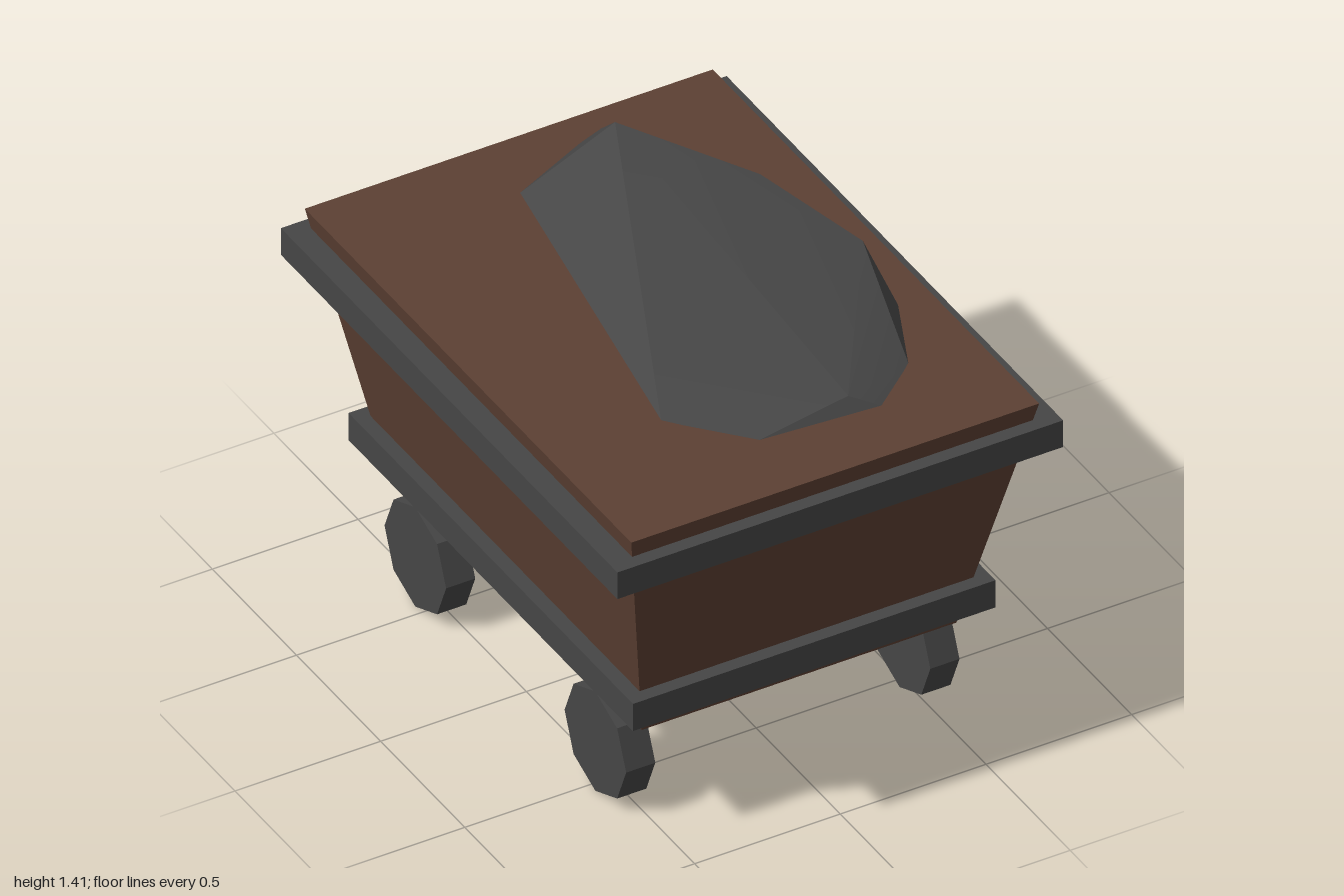
import * as THREE from 'three';
import { toCreasedNormals } from 'three/addons/utils/BufferGeometryUtils.js';
import { ConvexGeometry } from 'three/addons/geometries/ConvexGeometry.js';

export function createModel() {
  const cart = new THREE.Group();
  cart.name = 'mineCart';

  const wood = new THREE.MeshStandardMaterial({ color: 0x5c4033 });
  wood.name = 'brown wood';
  const iron = new THREE.MeshStandardMaterial({ color: 0x464646 });
  iron.name = 'dark grey';

  const add = (name, geometry, material, x = 0, y = 0, z = 0) => {
    const mesh = new THREE.Mesh(geometry, material);
    mesh.name = name;
    mesh.position.set(x, y, z);
    cart.add(mesh);
    return mesh;
  };

  // Tub: a box whose bottom is narrowed
  const tub = new THREE.BoxGeometry(1.4, 0.885, 1.94);
  const p = tub.attributes.position;
  for (let i = 0; i < p.count; i++) {
    if (p.getY(i) < 0) {
      p.setX(i, Math.sign(p.getX(i)) * 0.54);
      p.setZ(i, Math.sign(p.getZ(i)) * 0.755);
    }
  }
  tub.computeVertexNormals();
  add('tub', tub, wood, 0, 0.7975, 0);

  // Iron bands around the tub
  add('upperBand', new THREE.BoxGeometry(1.53, 0.098, 2), iron, 0, 1.124, 0);
  add('lowerBand', new THREE.BoxGeometry(1.244, 0.1, 1.69), iron, 0, 0.488, 0);

  // Eight-sided wheels, one corner pointing up
  const wheel = toCreasedNormals(
    new THREE.CylinderGeometry(0.183, 0.183, 0.1, 8).rotateZ(Math.PI / 2), 0.3);
  for (const [side, sx] of [['left', 1], ['right', -1]]) {
    for (const [end, sz] of [['Front', 1], ['Back', -1]]) {
      add(`${side}${end}Wheel`, wheel, iron, sx * 0.522, 0.186, sz * 0.535);
    }
  }

  // Rock poking out of the load: a hull over its corner points
  const base = 1.235;
  const corners = [
    [0.2, 1.41, -0.685], [0.47, 1.37, -0.29], [0.58, 1.35, 0.13], [0.2, 1.28, 0.7],
    [0.25, 1.26, -0.855], [0.28, 1.26, -0.84], [0.17, base, -0.85],
    [-0.115, base, -0.72], [-0.33, base, 0.515], [-0.15, base, 0.715],
    [0.3, base, 0.75], [0.46, base, 0.62], [0.585, base, 0.34],
    [0.58, base, -0.13], [0.51, base, -0.45],
  ].map((c) => new THREE.Vector3(...c));
  add('rock', toCreasedNormals(new ConvexGeometry(corners), 0.4), iron);

  return cart;
}
